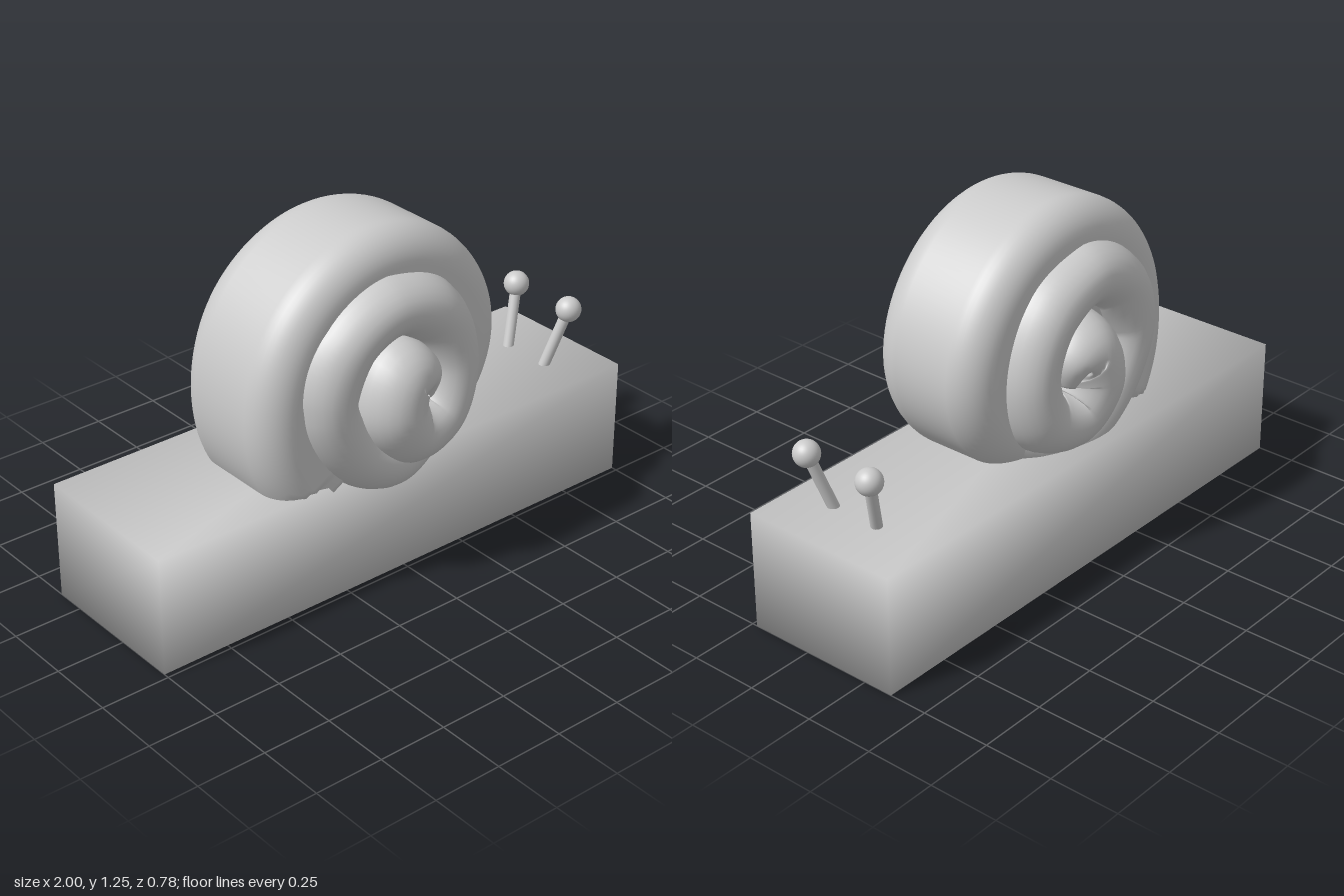
import * as THREE from 'three';
import { mergeVertices } from 'three/addons/utils/BufferGeometryUtils.js';

const grey = new THREE.MeshStandardMaterial({ color: 0xcccccc });

function add(group, name, geometry) {
  const mesh = new THREE.Mesh(geometry, grey);
  mesh.name = name;
  group.add(mesh);
  return mesh;
}

// Skin closed rings of points into a smooth, capped solid
function loft(rings, flip = false) {
  const n = rings[0].length, pos = [], idx = [];
  const tri = (a, b, c) => (flip ? idx.push(a, c, b) : idx.push(a, b, c));
  rings.forEach(ring => ring.forEach(p => pos.push(p.x, p.y, p.z)));
  for (let i = 0; i < rings.length - 1; i++) {
    for (let j = 0; j < n; j++) {
      const k = (j + 1) % n, a = i * n, b = a + n;
      tri(a + j, a + k, b + j);
      tri(a + k, b + k, b + j);
    }
  }
  const last = (rings.length - 1) * n;
  for (let j = 1; j < n - 1; j++) {
    tri(0, j + 1, j);
    tri(last, last + j, last + j + 1);
  }
  const g = new THREE.BufferGeometry();
  g.setAttribute('position', new THREE.Float32BufferAttribute(pos, 3));
  g.setIndex(idx);
  g.computeVertexNormals();
  return g;
}

// Broad outer whorl: a rounded section turned about the shell's axis
function outerWhorl() {
  const cx = -0.06, cy = 0.735, cz = -0.005, corner = 0.12;
  const keys = [[240, 0.58], [213, 0.55], [180, 0.517], [135, 0.512], [90, 0.515],
    [45, 0.515], [0, 0.51], [-41, 0.464], [-85, 0.4]];
  const curve = new THREE.CatmullRomCurve3(keys.map(k => new THREE.Vector3(k[0] / 100, k[1], 0)));
  const rings = [];
  for (let i = 0; i <= 96; i++) {
    const p = curve.getPoint(i / 96), t = THREE.MathUtils.degToRad(p.x * 100), R = p.y;
    const w = 0.25 - 0.03 * i / 96;
    const half = [];
    for (let j = 0; j <= 10; j++) {
      const a = j / 10 * Math.PI / 2;
      half.push([R - corner + corner * Math.cos(a), w - corner + corner * Math.sin(a)]);
    }
    half.push([R - 0.2, w], [0.05, w]);
    const section = [...half, ...half.map(([r, z]) => [r, -z]).reverse()];
    rings.push(section.map(([r, z]) => {
      const y = cy + r * Math.sin(t);
      // Keep the buried part inside the body
      const limit = y < 0.43 ? 0.22 : 1;
      return new THREE.Vector3(cx + r * Math.cos(t), y, cz + THREE.MathUtils.clamp(z, -limit, limit));
    }));
  }
  return loft(rings);
}

// Inner whorl on one side, winding into the bulging core: x, y, crest height, radius
function innerWhorl(side) {
  const keys = [
    [0.2, 0.52, 0.21, 0.09], [0.09, 0.455, 0.27, 0.1], [-0.06, 0.43, 0.31, 0.105],
    [-0.23, 0.53, 0.32, 0.11], [-0.325, 0.74, 0.33, 0.115], [-0.25, 0.93, 0.34, 0.115],
    [-0.08, 1.01, 0.345, 0.112], [0.11, 0.93, 0.345, 0.112], [0.185, 0.74, 0.34, 0.11],
    [0.13, 0.57, 0.35, 0.115], [0.0, 0.54, 0.37, 0.125], [-0.085, 0.65, 0.388, 0.137],
    [-0.05, 0.76, 0.38, 0.14], [0.02, 0.75, 0.36, 0.09], [0.05, 0.67, 0.31, 0.04]];
  const path = new THREE.CatmullRomCurve3(keys.map(k => new THREE.Vector3(k[0], k[1], k[2])));
  const sizes = new THREE.CatmullRomCurve3(keys.map(k => new THREE.Vector3(k[3], 0, 0)));
  const axis = new THREE.Vector3(0, 0, 1), rings = [];
  for (let i = 0; i <= 140; i++) {
    const u = i / 140, c = path.getPoint(u), r = sizes.getPoint(u).x;
    const tangent = path.getTangent(u).setZ(0).normalize();
    const normal = new THREE.Vector3().crossVectors(axis, tangent);
    const depth = 1.3 * r, ring = [];
    for (let j = 0; j < 28; j++) {
      const a = j / 28 * Math.PI * 2;
      const p = c.clone().addScaledVector(normal, r * Math.cos(a));
      p.z = -0.005 + side * (c.z - depth + depth * Math.sin(a));
      ring.push(p);
    }
    rings.push(ring);
  }
  return loft(rings, side < 0);
}

export function createModel() {
  const model = new THREE.Group();
  model.name = 'snail';

  // Block body with normals shared across its edges
  let box = new THREE.BoxGeometry(2, 0.43, 0.59);
  box.deleteAttribute('normal');
  box.deleteAttribute('uv');
  box = mergeVertices(box);
  box.computeVertexNormals();
  add(model, 'body', box).position.set(0, 0.215, -0.065);

  // Shell
  const shell = new THREE.Group();
  shell.name = 'shell';
  add(shell, 'outerWhorl', outerWhorl());
  add(shell, 'frontInnerWhorl', innerWhorl(1));
  add(shell, 'backInnerWhorl', innerWhorl(-1));
  model.add(shell);

  // Eye stalks leaning forward and apart
  for (const side of [1, -1]) {
    const foot = new THREE.Vector3(0.79, 0.4, -0.035 + side * 0.088);
    const tip = new THREE.Vector3(0.87, 0.64, -0.037 + side * 0.134);
    const eye = new THREE.Group();
    eye.name = side > 0 ? 'frontEye' : 'backEye';
    const stalk = add(eye, 'stalk', new THREE.CylinderGeometry(0.02, 0.02, foot.distanceTo(tip), 20));
    stalk.position.lerpVectors(foot, tip, 0.5);
    stalk.quaternion.setFromUnitVectors(new THREE.Vector3(0, 1, 0), tip.clone().sub(foot).normalize());
    add(eye, 'eyeball', new THREE.SphereGeometry(0.046, 32, 20)).position.copy(tip);
    model.add(eye);
  }
  return model;
}
